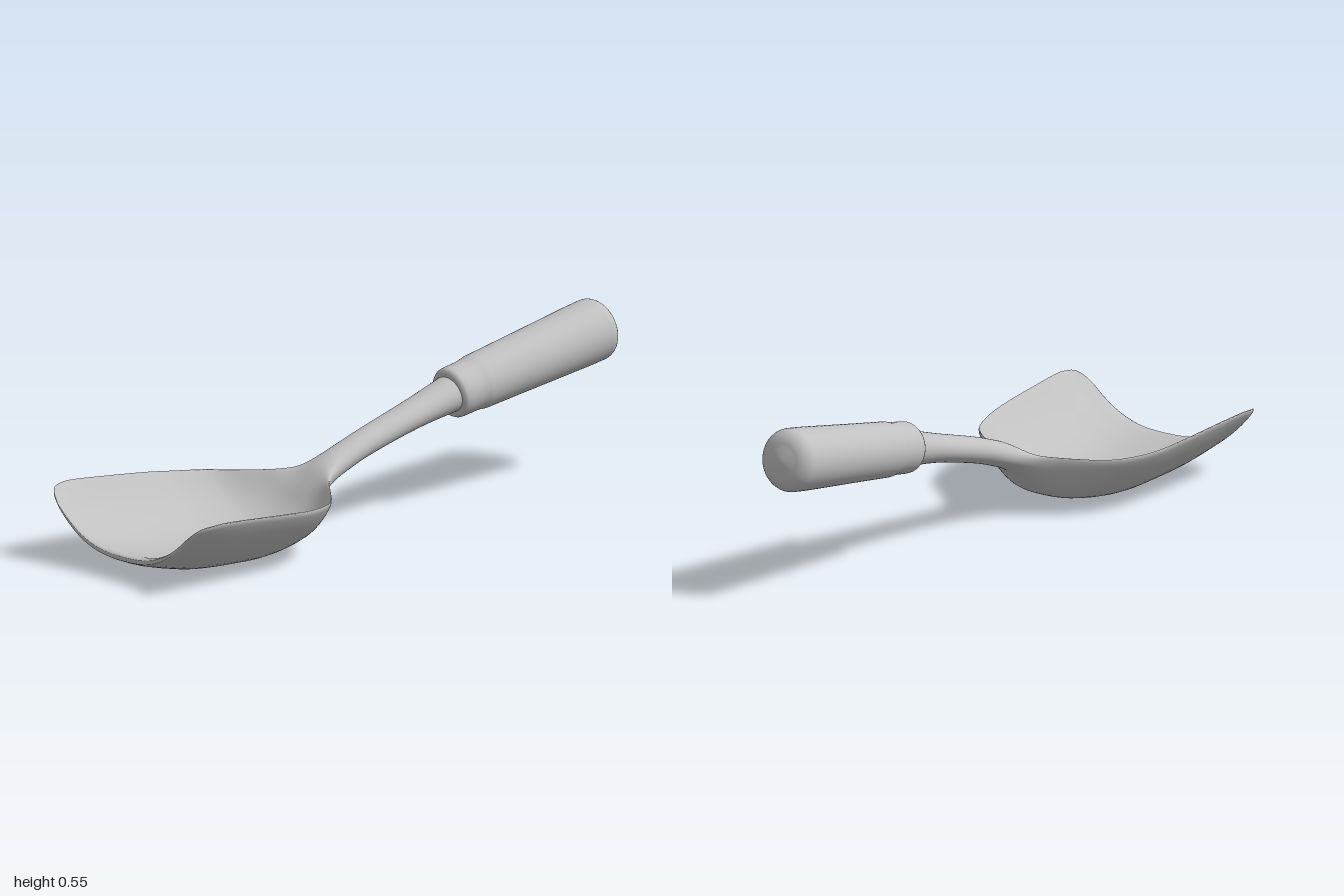
import * as THREE from 'three';

// Stations along x: [x, half width, underside y, rim rise, thickness, edge squareness]
const STATIONS = [
  [-1.0, 0.295, 0.063, 0.115, 0.012, 0.6],
  [-0.99, 0.322, 0.058, 0.138, 0.022, 0.55],
  [-0.97, 0.343, 0.051, 0.158, 0.028, 0.5],
  [-0.94, 0.353, 0.043, 0.170, 0.03, 0.5],
  [-0.9, 0.355, 0.033, 0.181, 0.032, 0.5],
  [-0.8, 0.350, 0.013, 0.193, 0.034, 0.5],
  [-0.6, 0.338, 0.001, 0.186, 0.036, 0.5],
  [-0.5, 0.322, 0.006, 0.170, 0.037, 0.5],
  [-0.4, 0.283, 0.022, 0.147, 0.04, 0.55],
  [-0.35, 0.240, 0.037, 0.127, 0.046, 0.6],
  [-0.3, 0.180, 0.061, 0.100, 0.058, 0.7],
  [-0.25, 0.118, 0.099, 0.058, 0.075, 0.85],
  [-0.2, 0.076, 0.140, 0.018, 0.084, 1],
  [-0.15, 0.058, 0.168, 0.003, 0.085, 1],
  [-0.1, 0.052, 0.188, 0, 0.085, 1],
  [0.0, 0.049, 0.222, 0, 0.085, 1],
  [0.2, 0.055, 0.273, 0, 0.093, 1],
  [0.36, 0.065, 0.300, 0, 0.118, 1],
];

// Smooth interpolation of one station interval
function between(i, t) {
  const at = (k) => STATIONS[Math.min(Math.max(k, 0), STATIONS.length - 1)];
  const [p0, p1, p2, p3] = [at(i - 1), at(i), at(i + 1), at(i + 2)];
  const h = p2[0] - p1[0];
  return p1.map((v, k) => {
    if (k === 0) return v + h * t;
    const m1 = (p2[k] - p0[k]) / (p2[0] - p0[0]) * h;
    const m2 = (p3[k] - p1[k]) / (p3[0] - p1[0]) * h;
    const t2 = t * t, t3 = t2 * t;
    return (2 * t3 - 3 * t2 + 1) * v + (t3 - 2 * t2 + t) * m1
      + (3 * t2 - 2 * t3) * p2[k] + (t3 - t2) * m2;
  });
}

// One skin that runs from the dished blade into the round neck
function bladeAndNeckGeometry() {
  const SEG = 72, STEPS = 5, position = [], index = [];
  const rings = [];
  for (let i = 0; i < STATIONS.length - 1; i++) {
    for (let s = 0; s < STEPS; s++) rings.push(between(i, s / STEPS));
  }
  rings.push(STATIONS[STATIONS.length - 1]);

  for (const [x, w, base, rise, thick, e] of rings) {
    for (let j = 0; j < SEG; j++) {
      const a = j / SEG * Math.PI * 2;
      const c = Math.cos(a), s = Math.sin(a);
      const bulge = Math.sign(s) * Math.pow(Math.abs(s), e);
      const dish = Math.max(rise, 0) * Math.pow(Math.abs(c), 2.6);
      position.push(x, base + dish + thick * (1 + bulge) / 2, w * c);
    }
  }
  for (let i = 0; i < rings.length - 1; i++) {
    for (let j = 0; j < SEG; j++) {
      const a = i * SEG + j, b = i * SEG + (j + 1) % SEG;
      index.push(a, a + SEG, b, b, a + SEG, b + SEG);
    }
  }
  // Thin front lip, closed between upper and lower edge
  for (let j = 0; j < SEG / 2; j++) {
    const a = j, b = j + 1, c = (SEG - j) % SEG, d = SEG - j - 1;
    index.push(a, b, d);
    if (c !== a) index.push(a, d, c);
  }
  const g = new THREE.BufferGeometry();
  g.setAttribute('position', new THREE.Float32BufferAttribute(position, 3));
  g.setIndex(index);
  g.computeVertexNormals();
  return g;
}

// Turned grip with a collar and a rounded butt
function gripGeometry() {
  const end = 0.654, r = 0.099, round = 0.055;
  const profile = [
    [0, 0], [0.066, 0], [0.075, 0.003], [0.08, 0.012], [0.081, 0.03],
    [0.081, 0.07], [0.0815, 0.085], [0.084, 0.1], [0.0865, 0.115],
    [0.09, 0.25], [0.095, 0.42], [0.0985, 0.54],
  ];
  for (let k = 0; k <= 8; k++) {
    const a = k / 8 * Math.PI / 2;
    profile.push([r - round + round * Math.cos(a), end - round + (round - 0.008) * Math.sin(a)]);
  }
  profile.push([0.02, end - 0.001], [0, end]);
  return new THREE.LatheGeometry(profile.map(([x, y]) => new THREE.Vector2(x, y)), 56);
}

export function createModel() {
  const model = new THREE.Group();
  model.name = 'scoop';
  const grey = new THREE.MeshStandardMaterial({ color: 0xc0c0c0 });
  grey.name = 'light grey';

  const blade = new THREE.Mesh(bladeAndNeckGeometry(), grey);
  blade.name = 'bladeAndNeck';
  model.add(blade);

  const grip = new THREE.Mesh(gripGeometry(), grey);
  grip.name = 'grip';
  grip.position.set(0.345, 0.356, 0.002);
  grip.rotation.z = -Math.PI / 2 + 0.168;
  model.add(grip);
  return model;
}
